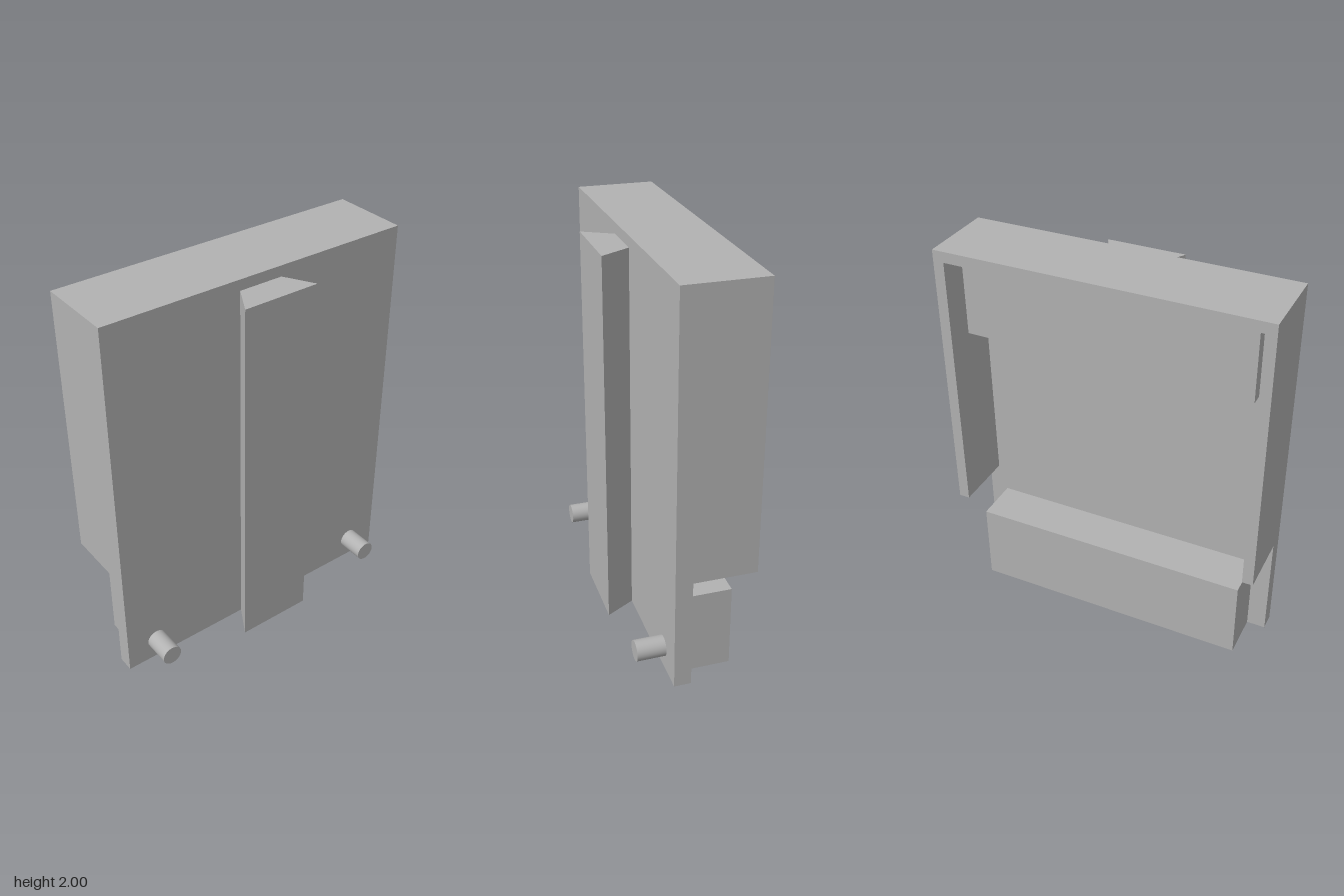
import * as THREE from 'three';

const grey = new THREE.MeshStandardMaterial({ color: 0xb2b2b2 });
grey.name = 'plain grey';

export function createModel() {
  const model = new THREE.Group();
  model.name = 'wallMountBracket';

  const add = (name, geometry, x = 0, y = 0, z = 0) => {
    const mesh = new THREE.Mesh(geometry, grey);
    mesh.name = name;
    mesh.position.set(x, y, z);
    model.add(mesh);
    return mesh;
  };
  // Box given by its full width and its y and z ranges
  const slab = (name, w, y0, y1, z0, z1) =>
    add(name, new THREE.BoxGeometry(w, y1 - y0, z1 - z0), 0, (y0 + y1) / 2, (z0 + z1) / 2);
  const polygon = (points) => new THREE.Shape(points.map(([x, y]) => new THREE.Vector2(x, y)));
  const extrude = (points, depth) =>
    new THREE.ExtrudeGeometry(polygon(points), { depth, bevelEnabled: false });

  const half = 0.825, inner = 0.77, back = 0.04, front = 0.125;

  // Front plate
  slab('frontPlate', half * 2, 0, 2, back, front);

  // Rim around the top and both sides, open at the bottom
  add('rim', extrude([
    [-half, 0.575], [-inner, 0.575], [-inner, 1.945], [inner, 1.945],
    [inner, 0.575], [half, 0.575], [half, 2], [-half, 2],
  ], 0.315), 0, 0, -0.275);

  // Cross blocks on the back of the plate
  slab('upperBlock', 1.456, 1.545, 1.945, -0.19, back);
  slab('lowerBlock', 1.456, 0, 0.43, -0.19, back);

  // Dovetail rail, narrow at the plate and wide at the front
  const rail = add('dovetailRail', extrude([
    [-0.2, -0.275], [0.2, -0.275], [0.115, -front], [-0.115, -front],
  ], 1.945));
  rail.rotation.x = -Math.PI / 2;

  // Pegs
  for (const side of [-1, 1]) {
    const peg = add(side > 0 ? 'leftPeg' : 'rightPeg',
      new THREE.CylinderGeometry(0.052, 0.052, 0.145, 48), side * 0.655, 0.117, 0.1975);
    peg.rotation.x = Math.PI / 2;
  }
  return model;
}
